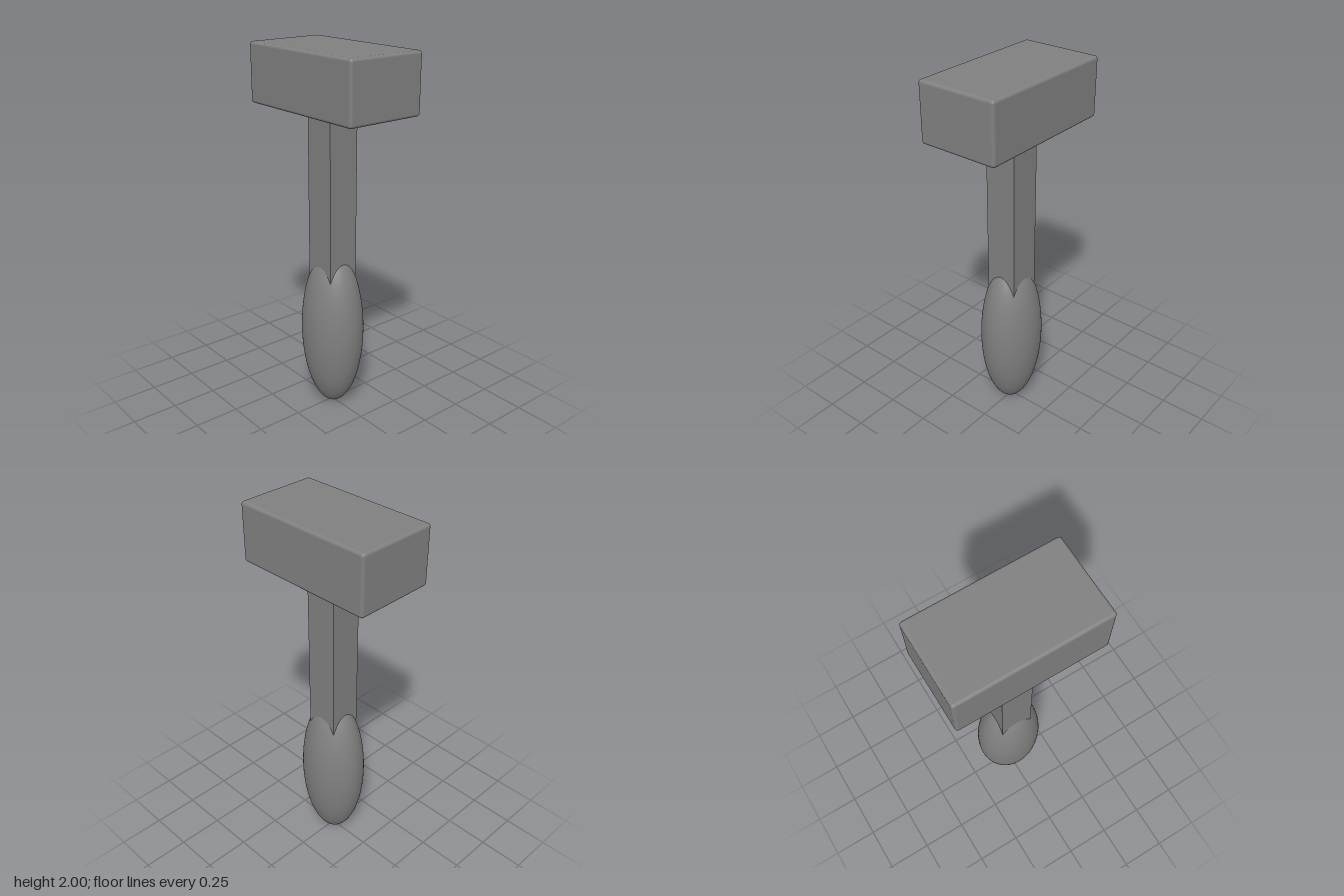
import * as THREE from 'three';
import { RoundedBoxGeometry } from 'three/addons/geometries/RoundedBoxGeometry.js';

export function createModel() {
  const model = new THREE.Group();
  model.name = 'mallet';
  const grey = new THREE.MeshStandardMaterial({ color: 0x808080 });
  grey.name = 'grey';

  const add = (name, geometry, y) => {
    const mesh = new THREE.Mesh(geometry, grey);
    mesh.name = name;
    mesh.position.y = y;
    model.add(mesh);
  };

  // Block head with slightly rounded edges
  add('head', new RoundedBoxGeometry(0.8, 0.315, 0.446, 4, 0.016), 1.8425);

  // Square shaft, running from inside the grip up into the head
  add('shaft', new THREE.BoxGeometry(0.18, 1.1, 0.176), 1.2);

  // Oval grip, a little wider than deep
  add('grip', new THREE.SphereGeometry(1, 64, 48).scale(0.187, 0.46, 0.16), 0.46);

  return model;
}
